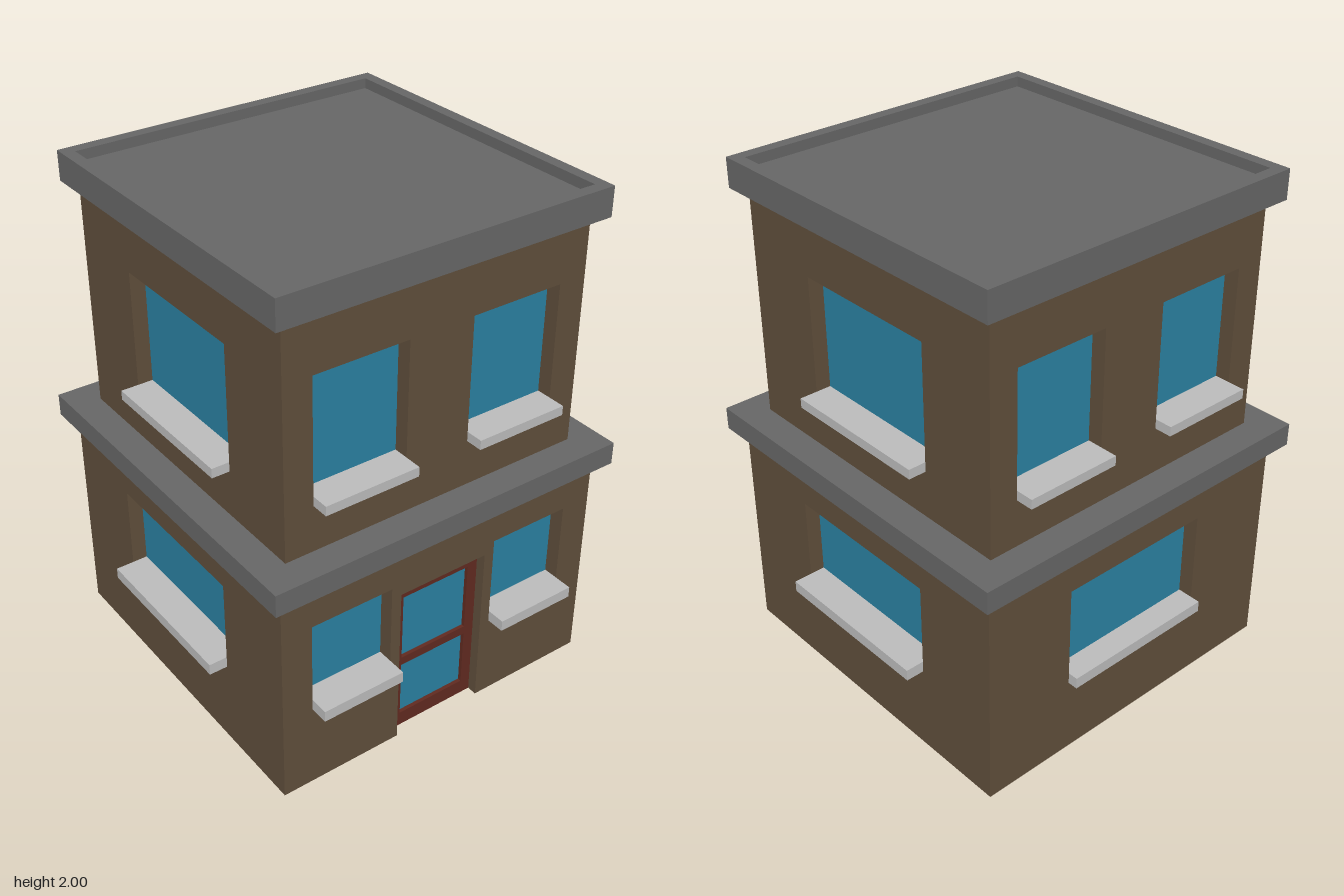
import * as THREE from 'three';

const mat = (color) => new THREE.MeshStandardMaterial({ color });
const M = {
  wall: mat(0x5f4e3b), glass: mat(0x2a80a0), slab: mat(0x666666),
  sill: mat(0xbbbbbb), frame: mat(0x602a20),
};
const REVEAL = 0.065; // depth of the window openings
const ZC = -0.0125;   // centre of both storeys in z

// Box given by its min and max corners
function box(name, material, x0, x1, y0, y1, z0, z1) {
  const mesh = new THREE.Mesh(new THREE.BoxGeometry(x1 - x0, y1 - y0, z1 - z0), material);
  mesh.position.set((x0 + x1) / 2, (y0 + y1) / 2, (z0 + z1) / 2);
  mesh.name = name;
  return mesh;
}

function rectPath(x0, x1, y0, y1, Type = THREE.Path) {
  const p = new Type();
  p.moveTo(x0, y0).lineTo(x1, y0).lineTo(x1, y1).lineTo(x0, y1).closePath();
  return p;
}

function extrude(name, material, shape, depth) {
  const mesh = new THREE.Mesh(new THREE.ExtrudeGeometry(shape, { depth, bevelEnabled: false }), material);
  mesh.name = name;
  return mesh;
}

// Door with frame, middle rail and two panes, outer wall face at z = 0
function makeDoor(w, h) {
  const door = new THREE.Group();
  door.name = 'door';
  const shape = rectPath(-w, w, 0, h, THREE.Shape);
  shape.holes.push(rectPath(-0.15, 0.15, 0.06, 0.3), rectPath(-0.15, 0.15, 0.335, 0.62));
  const frame = extrude('doorFrame', M.frame, shape, 0.025);
  frame.position.z = -REVEAL;
  door.add(frame, box('doorGlass', M.glass, -0.15, 0.15, 0.06, 0.62, -REVEAL, -REVEAL + 0.01));
  return door;
}

// One wall: local z = 0 is the outer face, windows are [x0, x1, y0, y1, sillHeight, sillOut]
function makeWall(name, halfWidth, h, windows, hasDoor) {
  const g = new THREE.Group();
  g.name = name;
  const dw = 0.193, dh = 0.68;
  const shape = new THREE.Shape();
  shape.moveTo(-halfWidth, 0);
  if (hasDoor) shape.lineTo(-dw, 0).lineTo(-dw, dh).lineTo(dw, dh).lineTo(dw, 0);
  shape.lineTo(halfWidth, 0).lineTo(halfWidth, h).lineTo(-halfWidth, h).closePath();
  for (const [x0, x1, y0, y1, sillH, out] of windows) {
    shape.holes.push(rectPath(x0, x1, y0, y1));
    g.add(box('windowGlass', M.glass, x0, x1, y0, y1, -REVEAL - 0.005, -REVEAL + 0.005));
    g.add(box('windowSill', M.sill, x0, x1, y0, y0 + sillH, -REVEAL, out));
  }
  const wall = extrude('wallPanel', M.wall, shape, REVEAL);
  wall.position.z = -REVEAL;
  g.add(wall);
  if (hasDoor) g.add(makeDoor(dw, dh));
  return g;
}

// Four walls round a solid core
function makeStorey(name, half, y, h, front, side, back, hasDoor) {
  const g = new THREE.Group();
  g.name = name;
  g.position.set(0, y, ZC);
  const c = half - REVEAL;
  g.add(box('core', M.wall, -c, c, 0, h, -c, c));
  const walls = [
    ['frontWall', front, half], ['leftWall', side, c],
    ['backWall', back, half], ['rightWall', side, c],
  ];
  walls.forEach(([wallName, windows, hw], i) => {
    const wall = makeWall(wallName, hw, h, windows, hasDoor && i === 0);
    const a = (i * Math.PI) / 2;
    wall.rotation.y = a;
    wall.position.set(Math.sin(a) * half, 0, Math.cos(a) * half);
    g.add(wall);
  });
  return g;
}

export function createModel() {
  const model = new THREE.Group();
  model.name = 'house';

  // Ground floor
  const pair = (x0, x1, ...rest) => [[x0, x1, ...rest], [-x1, -x0, ...rest]];
  model.add(makeStorey('groundFloor', 0.703, 0, 0.89,
    pair(0.235, 0.578, 0.35, 0.725, 0.045, 0.075),
    [[-0.342, 0.342, 0.35, 0.725, 0.045, 0.073]],
    [[-0.325, 0.325, 0.31, 0.725, 0.045, 0.04]], true));

  // Ledge between the floors
  model.add(box('ledge', M.slab, -0.755, 0.755, 0.89, 0.98, ZC - 0.755, ZC + 0.755));

  // Upper floor
  const upper = pair(0.135, 0.52, 0.185, 0.68, 0.038, 0.07);
  model.add(makeStorey('upperFloor', 0.635, 0.98, 0.905, upper,
    [[-0.308, 0.308, 0.185, 0.68, 0.038, 0.07]], upper, false));

  // Flat roof inside a raised rim
  const r = 0.684, inner = 0.637;
  const rimShape = rectPath(-r, r, -r, r, THREE.Shape);
  rimShape.holes.push(rectPath(-inner, inner, -inner, inner));
  const rim = extrude('roofRim', M.slab, rimShape, 0.115);
  rim.rotation.x = -Math.PI / 2;
  rim.position.set(0, 1.885, ZC);
  model.add(rim, box('roof', M.slab, -inner, inner, 1.885, 1.96, ZC - inner, ZC + inner));
  return model;
}
